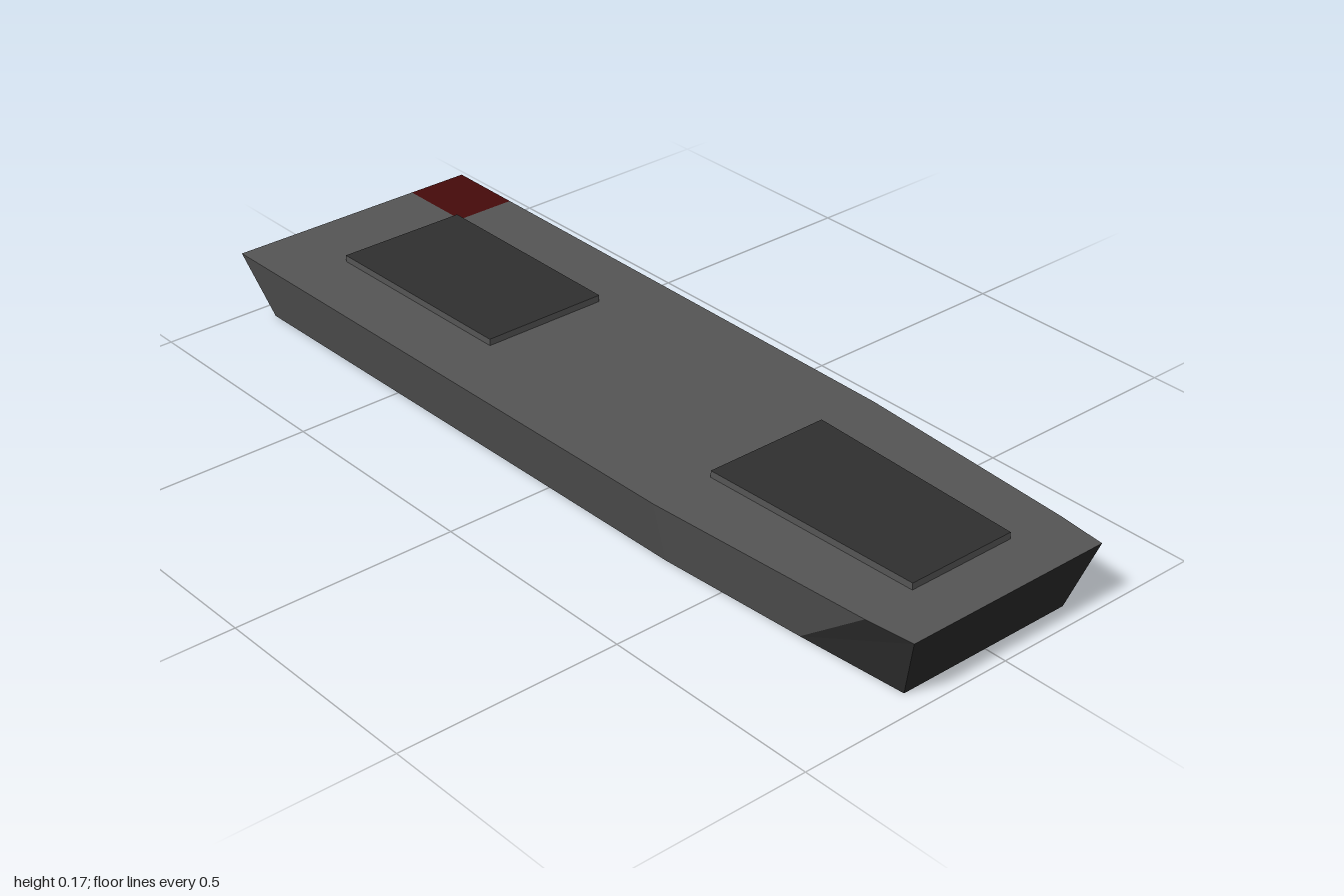
import * as THREE from 'three';

const HEIGHT = 0.15;

export function createModel() {
  const model = new THREE.Group();
  const hullGrey = new THREE.MeshStandardMaterial({ name: 'hull grey', color: 0x555555 });
  const darkGrey = new THREE.MeshStandardMaterial({ name: 'dark grey', color: 0x2f2f2f });
  const darkRed = new THREE.MeshStandardMaterial({ name: 'dark red', color: 0x460b0b });

  const add = (name, geometry, material) => {
    const mesh = new THREE.Mesh(geometry, material);
    mesh.name = name;
    model.add(mesh);
    return mesh;
  };
  // Mirrors a list of [x, z] stations into a closed ring
  const ring = (half) => [...half, ...half.map(([x, z]) => [x, -z]).reverse()];
  // Outlines are [x, z]; the shape's y is -z when it faces up, z when it faces down
  const shapeOf = (outline, sign) =>
    new THREE.Shape(outline.map(([x, z]) => new THREE.Vector2(x, sign * z)));
  const flat = (name, outline, y, up, material) => {
    const sign = up ? -1 : 1;
    const geometry = new THREE.ShapeGeometry(shapeOf(outline, sign));
    geometry.rotateX(sign * Math.PI / 2).translate(0, y, 0);
    return add(name, geometry, material);
  };

  // Hull outlines at deck and keel level
  const top = ring([[-1, 0.303], [0.36, 0.291], [0.89, 0.257], [1, 0.245]]);
  const bottom = ring([[-0.95, 0.26], [0.35, 0.25], [0.7, 0.229], [0.95, 0.21]]);

  // Sloping walls, one panel per pair of stations; bow and stern are dark
  const panels = ['leftSide', 'leftSideFore', 'leftBowPaint', 'bow',
    'rightBowPaint', 'rightSideFore', 'rightSide', 'stern'];
  panels.forEach((name, i) => {
    const j = (i + 1) % top.length;
    const at = ([x, z], y) => [x, y, z];
    const a = at(bottom[i], 0), b = at(bottom[j], 0);
    const c = at(top[j], HEIGHT), d = at(top[i], HEIGHT);
    const geometry = new THREE.BufferGeometry();
    geometry.setAttribute('position',
      new THREE.Float32BufferAttribute([a, b, c, a, c, d].flat(), 3));
    geometry.computeVertexNormals();
    add(name, geometry, name.includes('Side') || name.includes('side') ? hullGrey : darkGrey);
  });

  // Deck with the red square let into its rear right corner
  const inner = -0.16, fore = -0.82, edge = -0.3015;
  flat('deck', [...top.slice(0, 7), [fore, edge], [fore, inner], [-1, inner]],
    HEIGHT, true, hullGrey);
  flat('cornerMarking', [[-1, -0.303], [fore, edge], [fore, inner], [-1, inner]],
    HEIGHT, true, darkRed);

  // Underside, with dark paint reaching back from the bow
  const paintEdge = [[0.7, -0.229], [0.64, -0.19], [0.5, -0.165], [0.36, -0.11], [0.34, 0],
    [0.36, 0.11], [0.5, 0.18], [0.7, 0.229]];
  flat('underside', [bottom[0], bottom[1], ...[...paintEdge].reverse(), bottom[6], bottom[7]],
    0, false, hullGrey);
  flat('undersidePaint', [...paintEdge, bottom[3], bottom[4]], 0, false, darkGrey);

  // Raised hatch plates with dark tops
  const hatches = {
    rearHatch: [[-0.82, 0.152], [-0.32, 0.147]],
    foreHatch: [[0.36, 0.146], [0.88, 0.128]],
  };
  for (const [name, half] of Object.entries(hatches)) {
    const geometry = new THREE.ExtrudeGeometry(shapeOf(ring(half), -1),
      { depth: 0.015, bevelEnabled: false });
    geometry.rotateX(-Math.PI / 2).translate(0, HEIGHT, 0);
    add(name, geometry, [darkGrey, hullGrey]);
  }

  return model;
}
